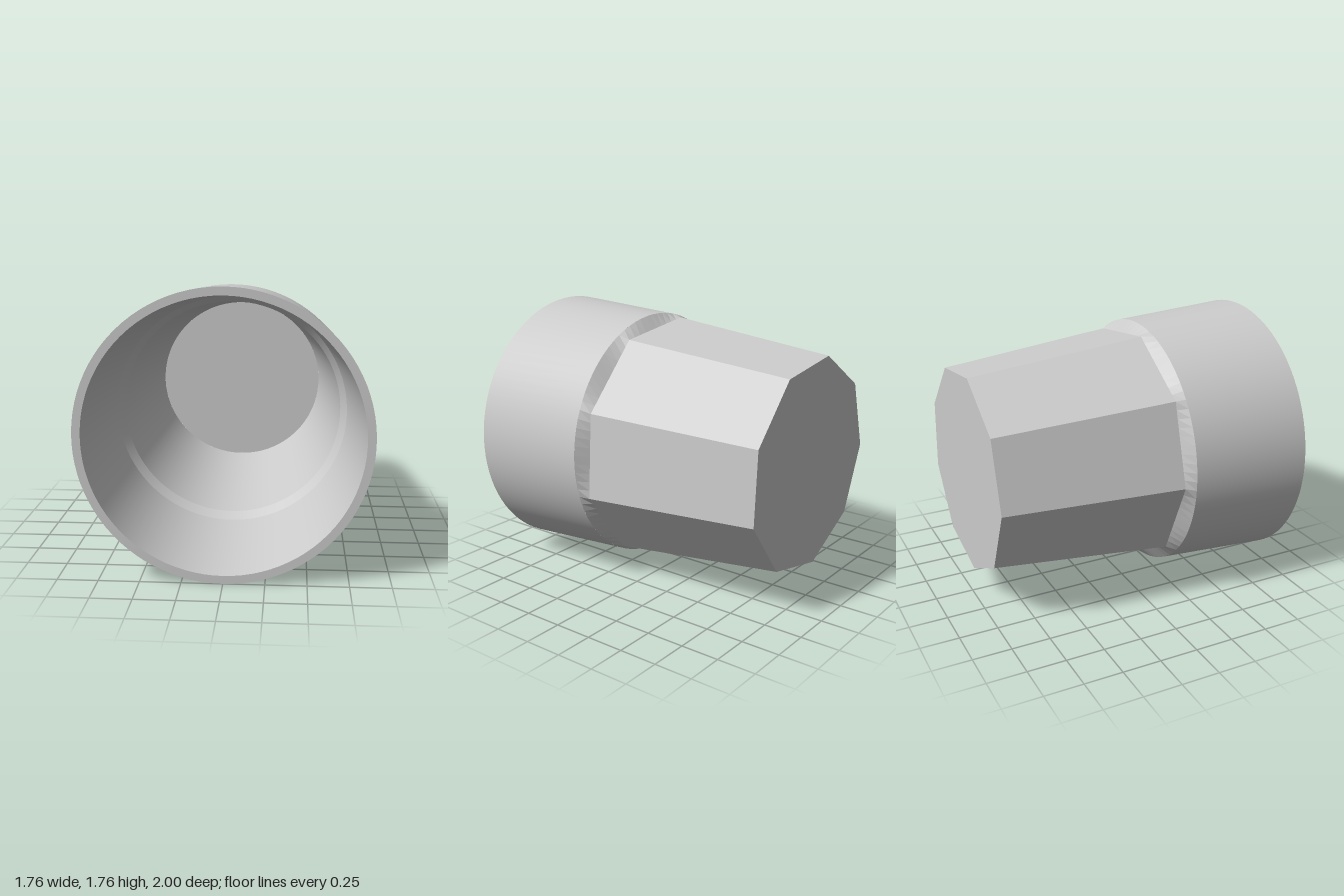
import * as THREE from 'three';

const SIDES = 9, SEGMENTS = 90, CENTER_Y = 0.88;
const BACK_Z = -1, BODY_Z = 0.155, COLLAR_Z = 0.22, FRONT_Z = 1;

// Faceted ring corner, with the slight skew of the nine-sided body
function corner(i, radius, z) {
  const a = THREE.MathUtils.degToRad(63 + i * 360 / SIDES);
  const skew = 0.015;
  return new THREE.Vector3(radius * Math.cos(a + skew), radius * Math.sin(a - skew), z);
}

function nonagon(radius, z) {
  return Array.from({ length: SIDES }, (_, i) => corner(i, radius, z));
}

// Split each side of a ring into equal steps
function subdivide(ring, steps) {
  return ring.flatMap((p, i) => Array.from({ length: steps },
    (_, k) => p.clone().lerp(ring[(i + 1) % ring.length], k / steps)));
}

// Flat-faced strip between a rear ring and a front ring, facing outward
function strip(rear, front) {
  const tris = [];
  rear.forEach((p, i) => {
    const j = (i + 1) % rear.length;
    tris.push(p, rear[j], front[j], p, front[j], front[i]);
  });
  return tris;
}

export function createModel() {
  const group = new THREE.Group();
  const smooth = new THREE.MeshStandardMaterial({ color: 0xcccccc });
  const faceted = new THREE.MeshStandardMaterial({ color: 0xcccccc, flatShading: true });

  function add(name, geometry, material) {
    const mesh = new THREE.Mesh(geometry, material);
    mesh.name = name;
    mesh.position.y = CENTER_Y;
    group.add(mesh);
  }

  function addFaceted(name, tris) {
    const geometry = new THREE.BufferGeometry().setFromPoints(tris);
    geometry.computeVertexNormals();
    add(name, geometry, faceted);
  }

  // Round band turned about z; each is its own mesh so its edges stay sharp
  function addRound(name, r0, z0, r1, z1) {
    const profile = [new THREE.Vector2(r0, z0), new THREE.Vector2(r1, z1)];
    add(name, new THREE.LatheGeometry(profile, SEGMENTS).rotateX(Math.PI / 2), smooth);
  }

  // Nine-sided tapered body and its closed end
  const back = nonagon(0.68, BACK_Z);
  const shoulder = nonagon(0.805, BODY_Z);
  addFaceted('facetedBody', strip(back, shoulder));
  const middle = new THREE.Vector3(0, 0, BACK_Z);
  addFaceted('backEnd', back.flatMap((p, i) => [middle, back[(i + 1) % SIDES], p]));

  // Transition from nine sides to round
  const circle = subdivide(shoulder, SEGMENTS / SIDES).map((_, i) => {
    const a = THREE.MathUtils.degToRad(63 + i * 360 / SEGMENTS);
    return new THREE.Vector3(0.83 * Math.cos(a), 0.83 * Math.sin(a), COLLAR_Z);
  });
  addFaceted('transition', strip(subdivide(shoulder, SEGMENTS / SIDES), circle));

  // Round collar, rim and hollow interior
  addRound('collar', 0.83, COLLAR_Z, 0.88, FRONT_Z);
  addRound('rim', 0.88, FRONT_Z, 0.83, FRONT_Z);
  addRound('innerCollar', 0.83, FRONT_Z, 0.755, COLLAR_Z);
  addRound('innerStep', 0.755, COLLAR_Z, 0.715, BODY_Z);
  addRound('innerWall', 0.715, BODY_Z, 0.6, -0.93);
  add('innerFloor', new THREE.CircleGeometry(0.6, SEGMENTS).translate(0, 0, -0.93), smooth);

  return group;
}
